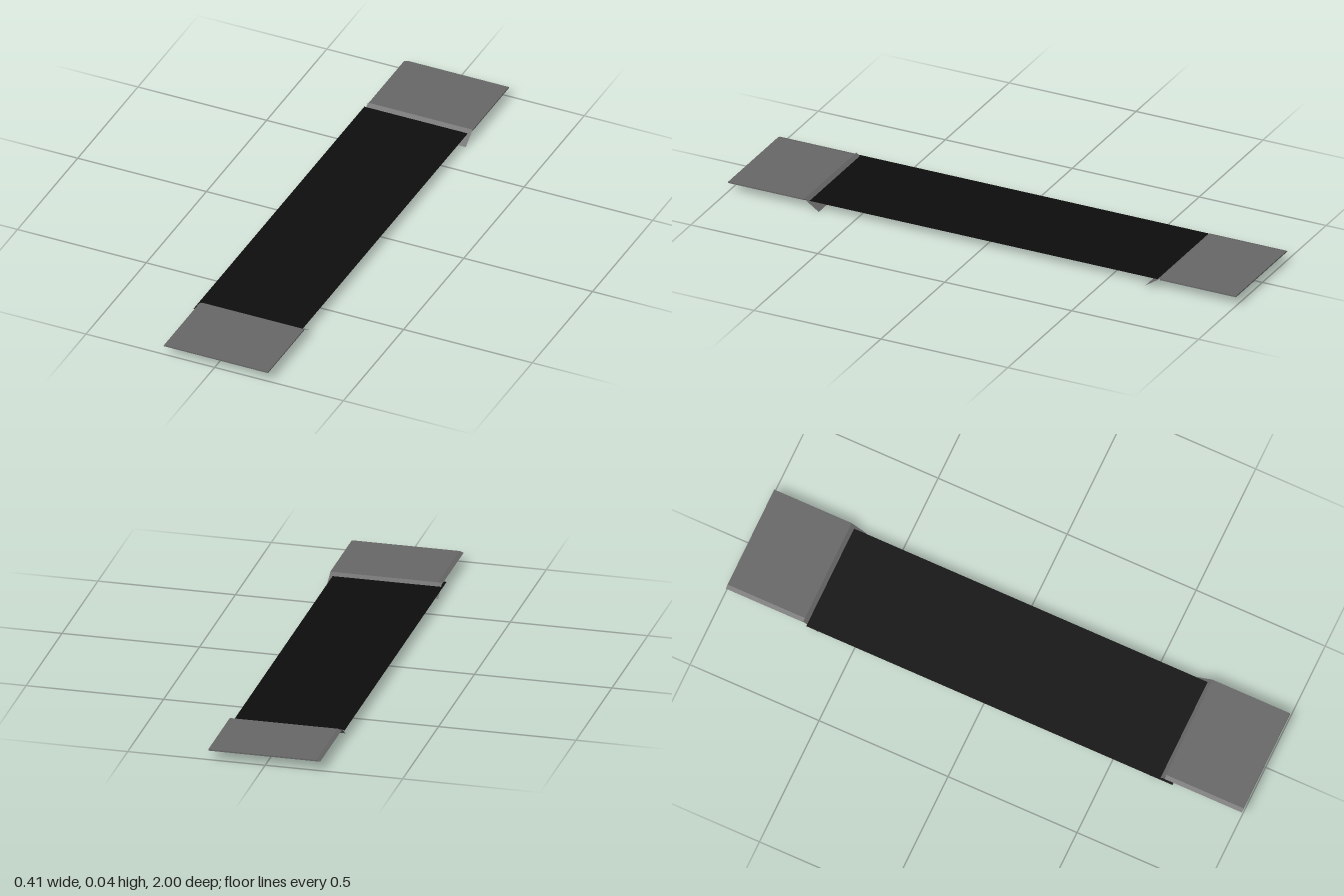
import * as THREE from 'three';

const LEFT = 0.207, RIGHT = -0.2;   // side edges of the platforms and ramps
const TOP = 0.039, UNDER = 0.034;   // platform thickness
const EDGE = 0.7, FOOT = 0.643;     // where a ramp leaves the platform and where it ends

export function createModel() {
  const group = new THREE.Group();
  const grey = new THREE.MeshStandardMaterial({ color: 0x666666, side: THREE.DoubleSide });
  const black = new THREE.MeshStandardMaterial({ color: 0x0d0d0d, side: THREE.DoubleSide });

  const add = (name, geometry, material) => {
    const mesh = new THREE.Mesh(geometry, material);
    mesh.name = name;
    group.add(mesh);
    return mesh;
  };

  // Thin platform section with one slanted side
  const section = new THREE.Shape([
    new THREE.Vector2(RIGHT, UNDER),
    new THREE.Vector2(LEFT, UNDER),
    new THREE.Vector2(LEFT, TOP),
    new THREE.Vector2(RIGHT + 0.015, TOP),
  ]);

  for (const [end, s] of [['front', 1], ['back', -1]]) {
    // Flat landing at each end
    const platform = add(end + 'Platform',
      new THREE.ExtrudeGeometry(section, { depth: 1 - EDGE, bevelEnabled: false }), grey);
    platform.position.z = s > 0 ? EDGE : -1;

    // Sheet sloping from the landing down to the ground, towards the middle
    const run = EDGE - FOOT;
    const ramp = add(end + 'Ramp',
      new THREE.PlaneGeometry(LEFT - RIGHT, Math.hypot(run, TOP)).rotateX(-Math.PI / 2), grey);
    ramp.position.set((LEFT + RIGHT) / 2, TOP / 2, s * (EDGE + FOOT) / 2);
    ramp.rotation.x = -s * Math.atan2(TOP, run);
  }

  // Long dark sheet spanning the gap, tucked under the front platform
  const deck = add('deck', new THREE.PlaneGeometry(0.402, 1.42).rotateX(-Math.PI / 2), black);
  deck.position.set(-0.006, 0.029, 0.025);

  return group;
}
